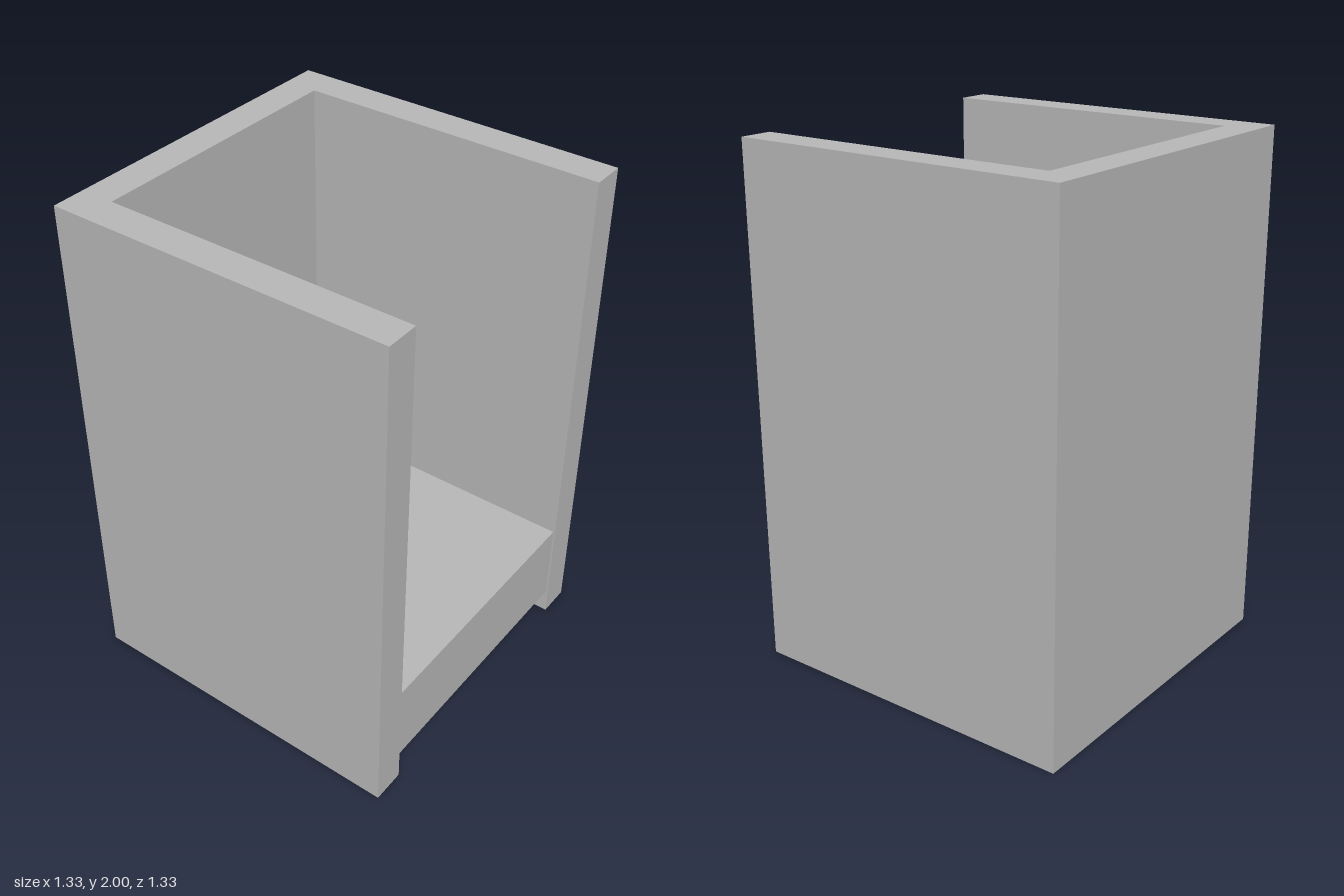
import * as THREE from 'three';

export function createModel() {
  const model = new THREE.Group();
  model.name = 'openCabinet';
  const grey = new THREE.MeshStandardMaterial({ color: 0xb8b8b8 });
  grey.name = 'plain grey';

  const outer = 0.665; // half width of the shell
  const inner = 0.534; // half width of the opening

  // U-shaped shell, open towards +x, extruded upwards
  const plan = new THREE.Shape([
    [-outer, -outer], [outer, -outer], [outer, -inner], [-inner, -inner],
    [-inner, inner], [outer, inner], [outer, outer], [-outer, outer],
  ].map(([x, y]) => new THREE.Vector2(x, y)));
  const wallGeometry = new THREE.ExtrudeGeometry(plan, { depth: 2, bevelEnabled: false });
  wallGeometry.rotateX(-Math.PI / 2);
  const walls = new THREE.Mesh(wallGeometry, grey);
  walls.name = 'walls';
  model.add(walls);

  // Thick raised floor, set back slightly from the open side
  const floorEnd = 0.657, bottom = 0.105, top = 0.435;
  const floor = new THREE.Mesh(
    new THREE.BoxGeometry(floorEnd + inner, top - bottom, 2 * inner), grey);
  floor.name = 'floor';
  floor.position.set((floorEnd - inner) / 2, (top + bottom) / 2, 0);
  model.add(floor);

  return model;
}
